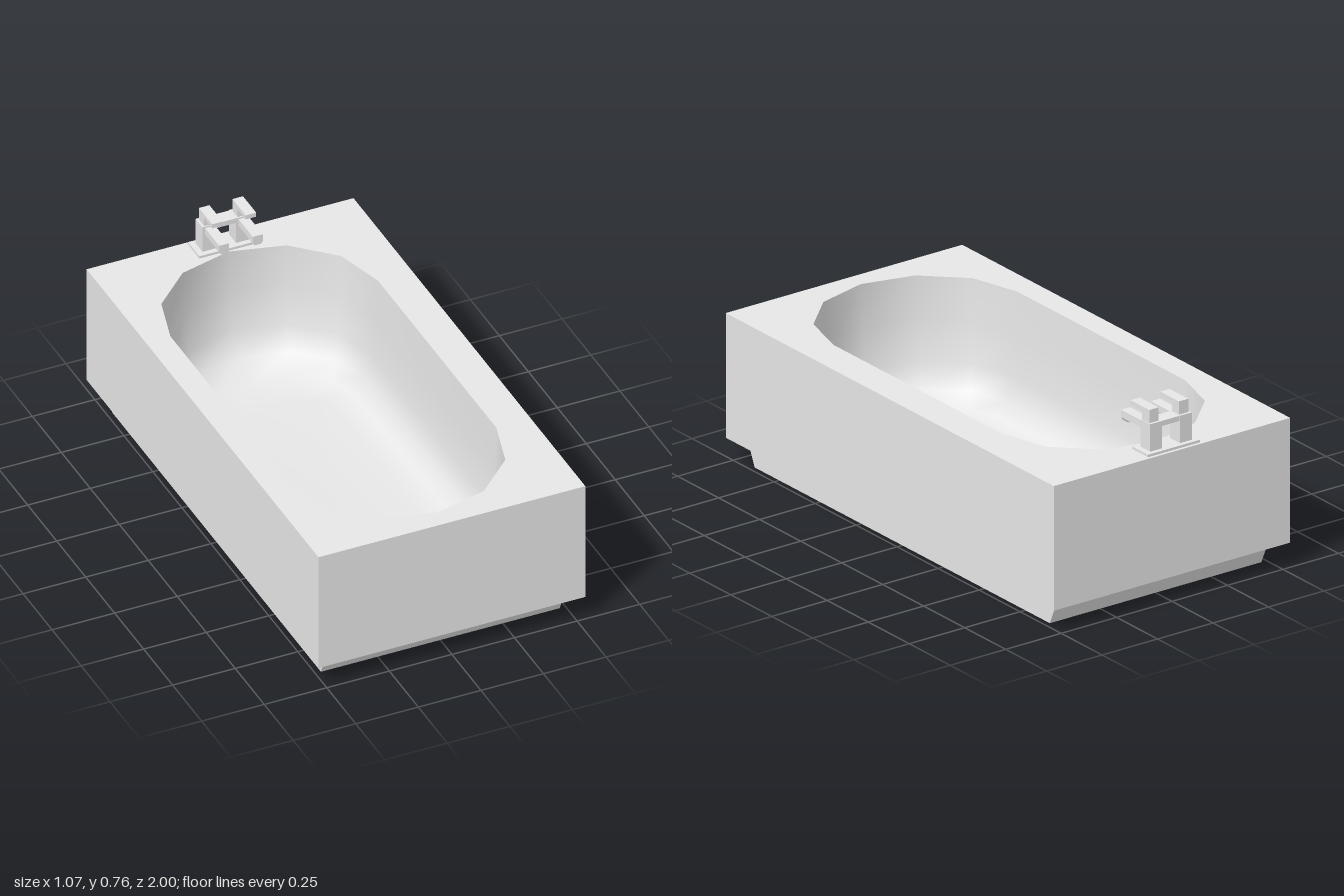
import * as THREE from 'three';

const HALF_W = 0.533, TOP = 0.588, UNDER = 0.097, FLOOR = 0.105;
const BASIN_X = -0.02, BASIN_Z = 0.02;

// Long oval made from two six-sided half rounds, returned as [x, z] pairs
function oval(rx, rz, straight) {
  const pts = [];
  for (const side of [1, -1]) {
    for (let i = 0; i <= 6; i++) {
      const a = (i * Math.PI) / 6;
      pts.push([
        BASIN_X + side * Math.cos(a) * rx,
        BASIN_Z + side * (straight + Math.sin(a) * rz),
      ]);
    }
  }
  return pts;
}

// Smooth hollow with steep walls, lofted through ovals that round off into the floor
function basinGeometry() {
  const rings = [ // rx, rz, y
    [0.415, 0.395, TOP],
    [0.408, 0.385, 0.42],
    [0.395, 0.362, 0.26],
    [0.368, 0.31, 0.17],
    [0.315, 0.21, 0.122],
    [0.22, 0.06, FLOOR],
  ];
  const pos = [], index = [], n = 14;
  for (const [rx, rz, y] of rings) {
    for (const [x, z] of oval(rx, rz, 0.51)) pos.push(x, y, z);
  }
  for (let r = 0; r < rings.length - 1; r++) {
    for (let i = 0; i < n; i++) {
      const j = (i + 1) % n;
      const a = r * n + i, a2 = r * n + j, b = a + n, b2 = a2 + n;
      index.push(b, a2, a, b, b2, a2);
    }
  }
  const last = (rings.length - 1) * n;
  pos.push(BASIN_X, FLOOR, BASIN_Z);
  for (let i = 0; i < n; i++) index.push(last + n, last + ((i + 1) % n), last + i);
  const g = new THREE.BufferGeometry();
  g.setAttribute('position', new THREE.Float32BufferAttribute(pos, 3));
  g.setIndex(index);
  g.computeVertexNormals();
  return g;
}

export function createModel() {
  const model = new THREE.Group();
  model.name = 'bathtub';
  const enamel = new THREE.MeshStandardMaterial({ color: 0xe7e7e7 });
  enamel.name = 'off white';

  const add = (name, geometry, parent = model) => {
    const mesh = new THREE.Mesh(geometry, enamel);
    mesh.name = name;
    parent.add(mesh);
    return mesh;
  };
  const block = (name, x0, x1, y0, y1, z0, z1, parent) => {
    const mesh = add(name, new THREE.BoxGeometry(x1 - x0, y1 - y0, z1 - z0), parent);
    mesh.position.set((x0 + x1) / 2, (y0 + y1) / 2, (z0 + z1) / 2);
    return mesh;
  };

  // Outer casing: a box without its top face
  const casing = block('casing', -HALF_W, HALF_W, UNDER, TOP, -1, 1);
  const faces = Array.from(casing.geometry.index.array);
  faces.splice(12, 6);
  casing.geometry.setIndex(faces);
  casing.geometry.clearGroups();

  // Flat rim with the oval opening
  const rim = new THREE.Shape([
    new THREE.Vector2(-HALF_W, -1), new THREE.Vector2(HALF_W, -1),
    new THREE.Vector2(HALF_W, 1), new THREE.Vector2(-HALF_W, 1),
  ]);
  rim.holes.push(new THREE.Path(
    oval(0.415, 0.395, 0.51).map(([x, z]) => new THREE.Vector2(x, -z))));
  add('rim', new THREE.ShapeGeometry(rim).rotateX(-Math.PI / 2)).position.y = TOP;

  add('basin', basinGeometry());

  // Plinth tapering at the two ends
  const plinth = new THREE.Shape([
    new THREE.Vector2(-0.9, 0), new THREE.Vector2(0.9, 0),
    new THREE.Vector2(0.943, UNDER), new THREE.Vector2(-0.943, UNDER),
  ]);
  add('plinth', new THREE.ExtrudeGeometry(plinth, { depth: 0.954, bevelEnabled: false })
    .rotateY(-Math.PI / 2).translate(0.477, 0, 0));

  // Twin tap at the back
  const tap = new THREE.Group();
  tap.name = 'tap';
  model.add(tap);
  block('tapPlate', -0.134, 0.099, TOP, 0.598, -0.988, -0.889, tap);
  block('tapBridge', -0.058, 0.022, 0.685, 0.705, -0.968, -0.912, tap);

  // Spout section with chamfered lower corners
  const spout = new THREE.Shape([[-0.02, 0.7], [-0.02, 0.67], [-0.013, 0.66],
    [0.013, 0.66], [0.02, 0.67], [0.02, 0.7]].map(([x, y]) => new THREE.Vector2(x, y)));

  for (const side of [-1, 1]) {
    const x = -0.018 + side * 0.067;
    const lx = x + 0.003;
    block('tapPost', x - 0.027, x + 0.027, 0.598, 0.706, -0.97, -0.91, tap);
    block('handleStem', lx - 0.021, lx + 0.021, 0.706, 0.74, -0.96, -0.916, tap);
    block('handle', lx - 0.021, lx + 0.021, 0.74, 0.758, -0.96, -0.846, tap);
    block('spoutArm', lx - 0.02, lx + 0.02, 0.672, 0.7, -0.91, -0.822, tap);
    add('spoutTip', new THREE.ExtrudeGeometry(spout, { depth: 0.035, bevelEnabled: false }), tap)
      .position.set(lx, 0, -0.822);
  }
  return model;
}
